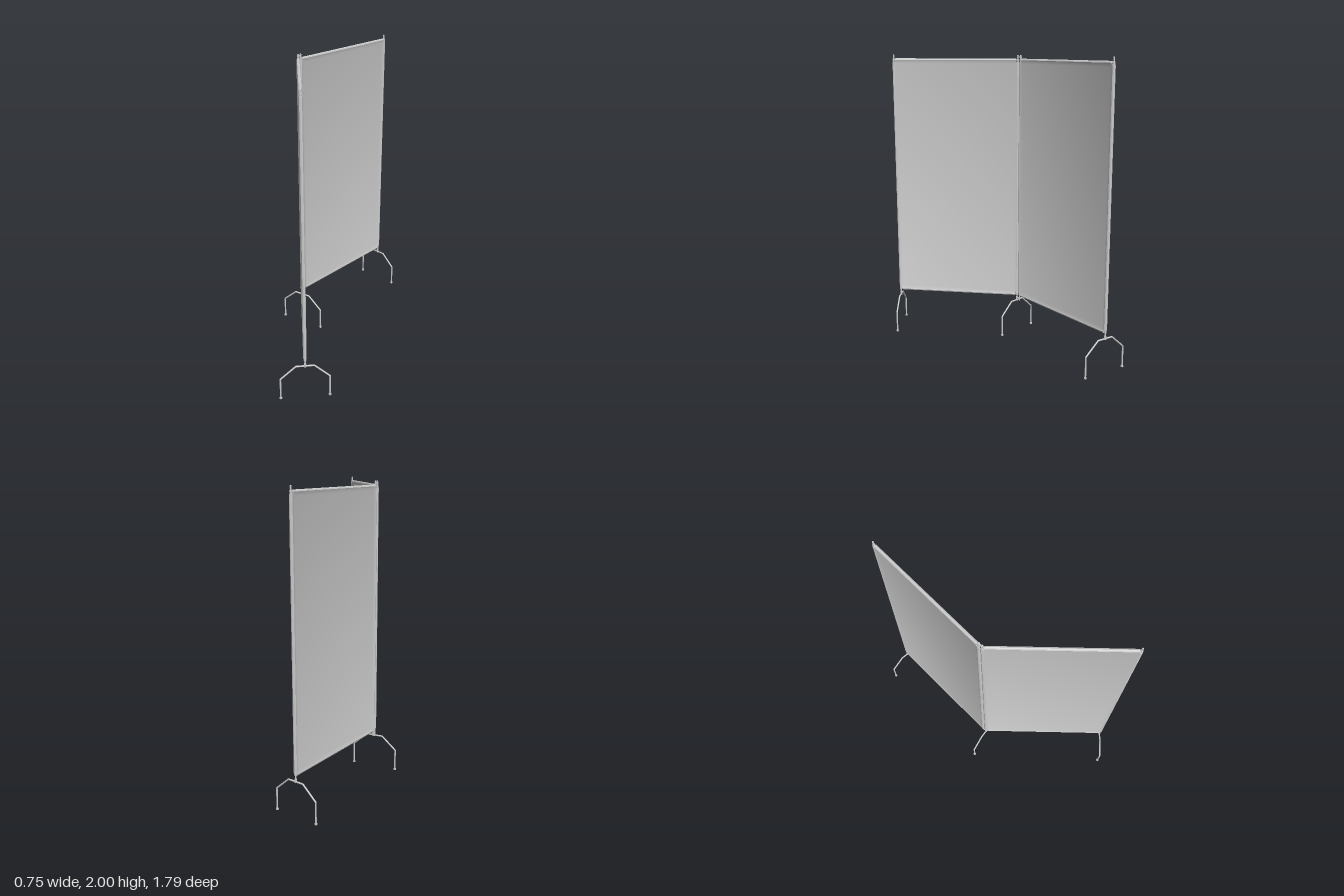
import * as THREE from 'three';
import { toCreasedNormals } from 'three/addons/utils/BufferGeometryUtils.js';

const material = new THREE.MeshStandardMaterial({ color: 0xcccccc });
const BOTTOM = 0.27, TOP = 1.975, SLEEVE = 0.011, NOTCH = 0.022;

function add(parent, geometry, name) {
  const mesh = new THREE.Mesh(geometry, material);
  mesh.name = name;
  parent.add(mesh);
  return mesh;
}

// Straight round bar between two points
function rod(parent, a, b, r, name) {
  const from = new THREE.Vector3(...a), to = new THREE.Vector3(...b);
  const dir = to.clone().sub(from);
  const mesh = add(parent, new THREE.CylinderGeometry(r, r, dir.length(), 12), name);
  mesh.position.copy(from).add(to).multiplyScalar(0.5);
  mesh.quaternion.setFromUnitVectors(new THREE.Vector3(0, 1, 0), dir.normalize());
  return mesh;
}

function ball(parent, p, r, name) {
  add(parent, new THREE.SphereGeometry(r, 12, 8), name).position.set(...p);
}

// Stretched cloth with round sleeves on all four edges and notched corners
function clothGeometry(hw, hh) {
  const half = [[0.035, 0.003], [0.019, 0.008], [0.011, SLEEVE], [0.003, 0.008]];
  const rings = [
    [null, 0.003], ...half, [0, 0],
    ...half.slice().reverse().map(([d, z]) => [d, -z]), [null, -0.003],
  ];
  const pos = [], index = [];
  for (const [d, z] of rings) {
    for (const [sx, sy] of [[1, 1], [-1, 1], [-1, -1], [1, -1]]) {
      const m = Math.max(NOTCH, d ?? 0);
      const corner = [[hw - d, hh - m], [hw - m, hh - m], [hw - m, hh - d]];
      if (sx * sy < 0) corner.reverse();
      for (const [x, y] of corner) {
        if (d === null) pos.push(0, 0, z);
        else pos.push(sx * x, sy * y, z);
      }
    }
  }
  for (let k = 0; k < rings.length - 1; k++) {
    for (let i = 0; i < 12; i++) {
      const j = (i + 1) % 12;
      const a = k * 12 + i, b = a + 12, c = (k + 1) * 12 + j, d = k * 12 + j;
      index.push(a, b, c, a, c, d);
    }
  }
  const g = new THREE.BufferGeometry();
  g.setAttribute('position', new THREE.Float32BufferAttribute(pos, 3));
  g.setIndex(index);
  return toCreasedNormals(g, 0.7);
}

// One screen panel between two post positions [x, z]
function panel(parent, p, q, name) {
  const group = new THREE.Group();
  group.name = name;
  const dx = q[0] - p[0], dz = q[1] - p[1], w = Math.hypot(dx, dz) / 2;
  const hh = (TOP - BOTTOM) / 2;
  add(group, clothGeometry(w + 0.01, hh), 'cloth');
  for (const s of [-1, 1]) {
    const y = s * (hh - SLEEVE);
    rod(group, [-w, y, 0], [w, y, 0], 0.005, 'rail');
    for (const e of [-1, 1]) {
      rod(group, [e * w, y - 0.008, 0], [e * w, y + 0.008, 0], 0.008, 'railCollar');
    }
  }
  group.position.set((p[0] + q[0]) / 2, (TOP + BOTTOM) / 2, (p[1] + q[1]) / 2);
  group.rotation.y = Math.atan2(-dz, dx);
  parent.add(group);
}

// Bent tube stand with two feet
function stand(parent, [x, z], angle) {
  const group = new THREE.Group();
  group.name = 'stand';
  const path = [[0, 0.234, 0], [0.058, 0.234, 0], [0.157, 0.146, 0], [0.157, 0, 0]];
  for (const s of [-1, 1]) {
    const pts = path.map(([px, py, pz]) => [s * px, py, pz]);
    for (let i = 0; i < 3; i++) rod(group, pts[i], pts[i + 1], 0.0055, 'legTube');
    ball(group, pts[1], 0.0055, 'legBend');
    ball(group, pts[2], 0.0055, 'legBend');
    rod(group, pts[3], [s * 0.157, 0.009, 0], 0.009, 'footPad');
  }
  rod(group, [0, 0.228, 0], [0, 0.252, 0], 0.008, 'postSocket');
  group.position.set(x, 0, z);
  group.rotation.y = angle;
  parent.add(group);
}

export function createModel() {
  const model = new THREE.Group();
  model.name = 'foldingScreen';
  const back = [0.23, -0.805], middle = [-0.22, -0.018], hinge = [-0.21, -0.042], front = [0, 0.833];

  panel(model, hinge, back, 'backPanel');
  panel(model, middle, front, 'frontPanel');

  for (const [x, z] of [back, middle, front, hinge]) {
    rod(model, [x, 0.236, z], [x, 1.997, z], 0.005, 'post');
    ball(model, [x, 1.994, z], 0.006, 'postCap');
  }

  stand(model, back, Math.atan2(-0.17, 0.26));
  stand(model, middle, Math.atan2(-0.11, 0.29));
  stand(model, front, Math.atan2(0.1, 0.3));

  // Clips joining the two middle posts
  for (const y of [0.252, 1.984]) {
    rod(model, [middle[0], y, middle[1]], [hinge[0], y, hinge[1]], 0.005, 'hingeClip');
    for (const [x, z] of [middle, hinge]) {
      rod(model, [x, y - 0.006, z], [x, y + 0.006, z], 0.008, 'hingeRing');
    }
  }
  return model;
}
